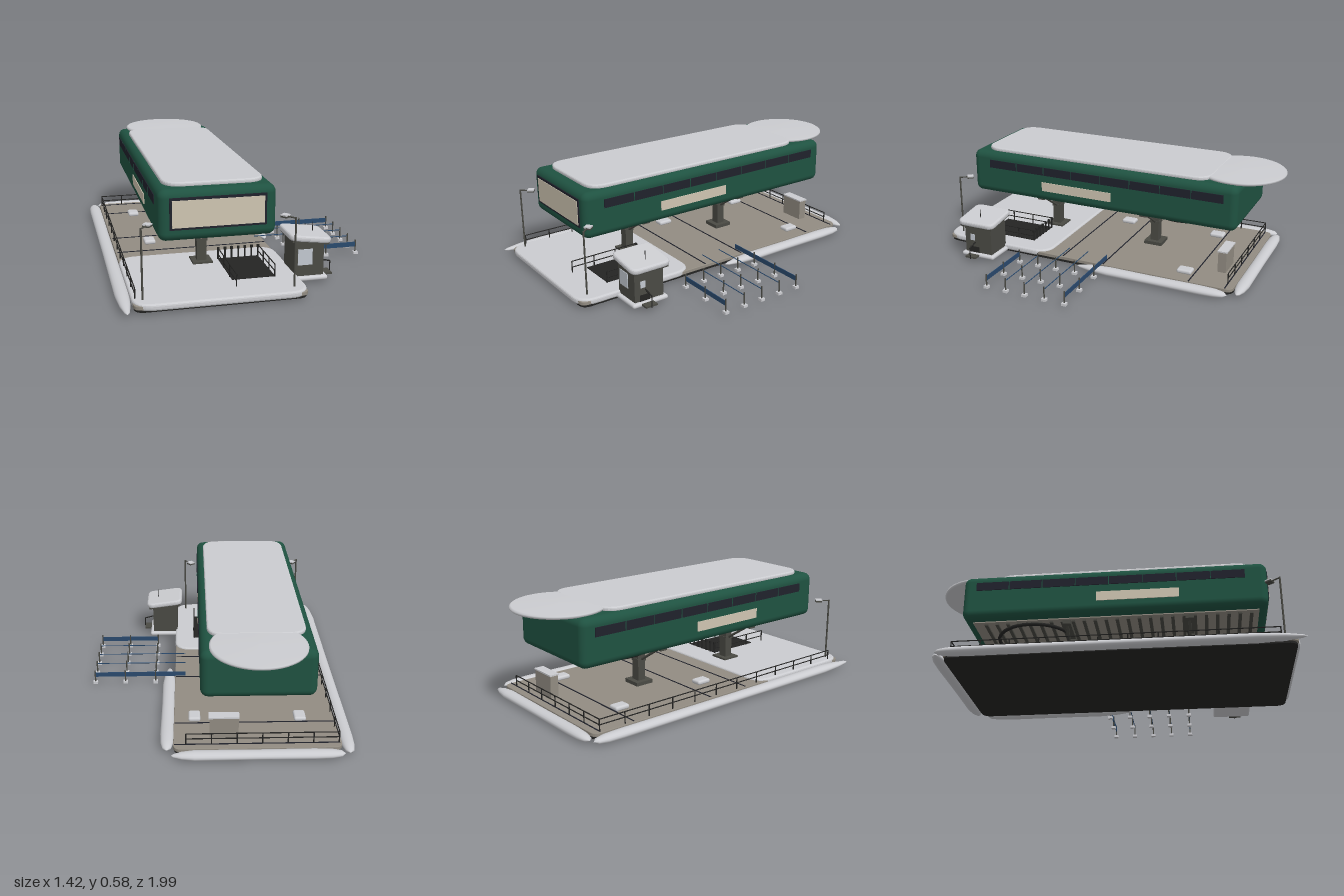
import * as THREE from 'three';
import { RoundedBoxGeometry } from 'three/addons/geometries/RoundedBoxGeometry.js';

const mat = (name, color, side = THREE.FrontSide) => {
  const m = new THREE.MeshStandardMaterial({ color, side });
  m.name = name;
  return m;
};

export function createModel() {
  const M = {
    green: mat('bodyGreen', 0x1f5241),
    frame: mat('darkFrame', 0x20222c),
    cream: mat('creamPanel', 0xcfc5b2),
    snow: mat('snow', 0xcbccd0),
    deck: mat('deckGrey', 0x928c82),
    steel: mat('darkSteel', 0x4a4a44),
    black: mat('blackBase', 0x242423),
    navy: mat('navyBelt', 0x2a4a6e),
    glass: mat('paleGlass', 0xc2c8d0),
  };
  const root = new THREE.Group();
  root.name = 'elevatedPavilion';
  const group = (name) => {
    const g = new THREE.Group();
    g.name = name;
    root.add(g);
    return g;
  };
  const add = (parent, name, geo, m, x = 0, y = 0, z = 0) => {
    const mesh = new THREE.Mesh(geo, m);
    mesh.name = name;
    mesh.position.set(x, y, z);
    parent.add(mesh);
    return mesh;
  };
  // box given by its limits on each axis
  const box = (p, name, m, x0, x1, y0, y1, z0, z1) =>
    add(p, name, new THREE.BoxGeometry(x1 - x0, y1 - y0, z1 - z0), m, (x0 + x1) / 2, (y0 + y1) / 2, (z0 + z1) / 2);
  const rbox = (p, name, m, x0, x1, y0, y1, z0, z1, r) =>
    add(p, name, new RoundedBoxGeometry(x1 - x0, y1 - y0, z1 - z0, 4, r), m, (x0 + x1) / 2, (y0 + y1) / 2, (z0 + z1) / 2);
  // round bar between two points
  const bar = (p, name, m, a, b, r) => {
    const A = new THREE.Vector3(...a), B = new THREE.Vector3(...b), d = B.clone().sub(A);
    const mesh = add(p, name, new THREE.CylinderGeometry(r, r, d.length(), 8), m);
    mesh.position.copy(A).add(B).multiplyScalar(0.5);
    mesh.quaternion.setFromUnitVectors(new THREE.Vector3(0, 1, 0), d.normalize());
    return mesh;
  };
  // flat slab with rounded corners in plan and a soft rim
  const slab = (p, name, m, x0, x1, y0, y1, z0, z1, r, bevel) => {
    const w = (x1 - x0) / 2 - bevel, h = (z1 - z0) / 2 - bevel, s = new THREE.Shape();
    s.moveTo(-w + r, -h);
    s.lineTo(w - r, -h); s.quadraticCurveTo(w, -h, w, -h + r);
    s.lineTo(w, h - r); s.quadraticCurveTo(w, h, w - r, h);
    s.lineTo(-w + r, h); s.quadraticCurveTo(-w, h, -w, h - r);
    s.lineTo(-w, -h + r); s.quadraticCurveTo(-w, -h, -w + r, -h);
    const depth = y1 - y0 - 2 * bevel;
    const g = new THREE.ExtrudeGeometry(s, { depth, bevelSize: bevel, bevelThickness: bevel, bevelSegments: 3, curveSegments: 8 });
    g.translate(0, 0, -depth / 2).rotateX(-Math.PI / 2);
    return add(p, name, g, m, (x0 + x1) / 2, (y0 + y1) / 2, (z0 + z1) / 2);
  };

  // deck
  const deck = group('deck');
  slab(deck, 'deckUnderside', M.black, -0.635, 0.222, 0.036, 0.05, -0.85, 0.95, 0.05, 0.002);
  slab(deck, 'deckFloor', M.deck, -0.64, 0.225, 0.05, 0.07, -0.852, 0.955, 0.04, 0.003);
  slab(deck, 'frontSnowField', M.snow, -0.643, 0.23, 0.045, 0.08, 0.265, 0.967, 0.09, 0.012);
  for (const z of [-0.81, -0.605, -0.09, 0.167])
    box(deck, 'deckJoint', M.frame, -0.63, 0.22, 0.068, 0.073, z - 0.003, z + 0.003);
  for (const [x, z] of [[-0.45, -0.56], [-0.43, 0.02], [0.115, -0.55]])
    rbox(deck, 'snowPatch', M.snow, x - 0.032, x + 0.032, 0.068, 0.093, z - 0.043, z + 0.043, 0.011);

  // ploughed snow banks: flattened spindles along z
  const bank = (name, length, half, taper, x, z, turn = 0) => {
    const L = length / 2, pts = [[0, -L], [0.6, -L + 0.02], [0.9, -L + 0.07], [1, -L + 0.16], [0.95, 0],
      [1, L - taper], [0.75, L - taper * 0.45], [0.35, L - taper * 0.1], [0, L]];
    const g = new THREE.LatheGeometry(pts.map(([r, y]) => new THREE.Vector2(r * half, y)), 16);
    g.rotateX(Math.PI / 2).scale(1, 0.023 / half, 1).rotateY(turn);
    add(deck, name, g, M.snow, x, 0.051, z);
  };
  bank('leftSnowBank', 1.87, 0.036, 0.24, -0.674, 0.056);
  bank('backSnowBank', 0.885, 0.036, 0.12, -0.207, -0.882, Math.PI / 2);
  bank('sideSnowBank', 0.89, 0.037, 0.2, 0.258, -0.39);

  // raised hall
  const hall = group('hall');
  rbox(hall, 'hallBody', M.green, -0.5, 0.085, 0.336, 0.592, -0.813, 0.84, 0.04);
  box(hall, 'frontFrame', M.frame, -0.447, 0.032, 0.396, 0.555, 0.838, 0.845);
  box(hall, 'frontScreen', M.cream, -0.435, 0.021, 0.407, 0.542, 0.84, 0.848);
  for (const s of [-1, 1]) {
    const x = -0.2075 + s * 0.2925;
    box(hall, 'windowStrip', M.frame, x - 0.004, x + 0.004, 0.497, 0.545, -0.738, 0.722);
    box(hall, 'sidePanel', M.cream, x - 0.004, x + 0.004, 0.4, 0.454, -0.075, 0.369);
    for (let i = 1; i < 8; i++) {
      const z = 0.722 - i * 0.1825;
      box(hall, 'windowMullion', M.green, x - 0.005, x + 0.005, 0.497, 0.545, z - 0.002, z + 0.002);
    }
  }

  // roof snow and the round cap over the back end
  slab(hall, 'roofSnow', M.snow, -0.462, 0.047, 0.586, 0.612, -0.64, 0.775, 0.09, 0.01);
  const disc = [[0, 0.589], [0.237, 0.589], [0.245, 0.595], [0.245, 0.604], [0.236, 0.61], [0, 0.613]];
  add(hall, 'roofDisc', new THREE.LatheGeometry(disc.map((p) => new THREE.Vector2(...p)), 48), M.snow, -0.205, 0, -0.755);

  // underside framing
  const under = group('undercarriage');
  box(under, 'undersidePlate', M.deck, -0.44, 0.025, 0.33, 0.34, -0.76, 0.79);
  for (let i = 0; i < 25; i++) {
    const z = 0.75 - i * 0.06;
    box(under, 'floorJoist', M.steel, -0.425, 0.01, 0.32, 0.335, z - 0.009, z + 0.009);
  }
  const ring = add(under, 'turningRing', new THREE.TorusGeometry(0.21, 0.01, 8, 40), M.black, -0.207, 0.32, -0.45);
  ring.rotation.x = Math.PI / 2;

  // columns with cross head and diagonal braces
  for (const z of [0.42, -0.245]) {
    const col = group('column');
    const c = -0.208;
    box(col, 'columnShaft', M.steel, c - 0.026, c + 0.026, 0.08, 0.335, z - 0.024, z + 0.024);
    box(col, 'columnFoot', M.steel, c - 0.054, c + 0.054, 0.068, 0.09, z - 0.054, z + 0.054);
    box(col, 'columnCollar', M.steel, c - 0.03, c + 0.03, 0.2, 0.215, z - 0.028, z + 0.028);
    box(col, 'crossHead', M.steel, c - 0.218, c + 0.218, 0.309, 0.335, z - 0.022, z + 0.022);
    for (const s of [-1, 1])
      bar(col, 'brace', M.steel, [c + s * 0.02, 0.207, z], [c + s * 0.185, 0.315, z], 0.007);
  }

  // railings
  const rail = (name, x0, z0, x1, z1, n, top) => {
    const g = group(name);
    for (const y of [top, (top + 0.075) / 2])
      bar(g, 'handrail', M.black, [x0, y, z0], [x1, y, z1], 0.003);
    for (let i = 0; i <= n; i++) {
      const t = i / n, x = x0 + (x1 - x0) * t, z = z0 + (z1 - z0) * t;
      bar(g, 'railPost', M.black, [x, 0.065, z], [x, top, z], 0.0035);
    }
  };
  rail('leftRailing', -0.625, -0.81, -0.625, 0.87, 11, 0.133);
  rail('backRailing', -0.625, -0.81, 0.16, -0.81, 6, 0.133);

  // entrance mat with rails and bollards
  const entry = group('entrance');
  box(entry, 'entranceMat', M.black, -0.115, 0.11, 0.076, 0.084, 0.42, 0.74);
  rail('entranceRail', -0.115, 0.42, -0.115, 0.83, 3, 0.145);
  rail('entranceRail', 0.11, 0.42, 0.11, 0.74, 3, 0.145);
  for (let i = 0; i < 7; i++) {
    const x = -0.112 + i * 0.037;
    bar(entry, 'bollard', M.black, [x, 0.075, 0.42], [x, 0.14, 0.42], 0.005);
    bar(entry, 'bollardHead', M.black, [x, 0.132, 0.42], [x, 0.147, 0.42], 0.008);
  }

  // lamp posts, mirrored across the deck
  for (const s of [-1, 1]) {
    const lamp = group('lampPost'), x = -0.213 + s * 0.378, hx = x - s * 0.038;
    bar(lamp, 'lampPole', M.steel, [x, 0.065, 0.892], [x, 0.435, 0.892], 0.005);
    bar(lamp, 'lampArm', M.steel, [x, 0.432, 0.892], [hx, 0.432, 0.845], 0.004);
    const head = box(lamp, 'lampHead', M.steel, hx - 0.018, hx + 0.018, 0.425, 0.433, 0.825, 0.861);
    const cap = box(lamp, 'lampSnow', M.snow, hx - 0.018, hx + 0.018, 0.433, 0.44, 0.825, 0.861);
    head.rotation.y = cap.rotation.y = s * 0.65;
  }

  // service cabinet
  const cabinet = group('cabinet');
  box(cabinet, 'cabinetBody', M.deck, -0.112, 0.038, 0.068, 0.19, -0.76, -0.712);
  box(cabinet, 'cabinetCap', M.snow, -0.116, 0.042, 0.19, 0.198, -0.764, -0.708);

  // ticket booth
  const booth = group('booth');
  rbox(booth, 'boothSnowBase', M.snow, 0.2, 0.395, 0.04, 0.065, 0.535, 0.75, 0.012);
  box(booth, 'boothBody', M.steel, 0.218, 0.375, 0.06, 0.25, 0.555, 0.73);
  box(booth, 'frontWindow', M.glass, 0.235, 0.313, 0.125, 0.21, 0.729, 0.734);
  box(booth, 'sideWindow', M.glass, 0.372, 0.378, 0.14, 0.178, 0.665, 0.695);
  box(booth, 'sideHatch', M.black, 0.372, 0.378, 0.065, 0.1, 0.64, 0.7);
  const eave = box(booth, 'boothEave', M.steel, 0.2, 0.4, 0.242, 0.254, 0.535, 0.745);
  const roof = slab(booth, 'boothRoofSnow', M.snow, 0.187, 0.413, 0.25, 0.282, 0.522, 0.758, 0.03, 0.012);
  eave.rotation.z = roof.rotation.z = -0.13;
  bar(booth, 'antenna', M.black, [0.342, 0.25, 0.64], [0.342, 0.325, 0.64], 0.002);
  bar(booth, 'shelfArm', M.black, [0.37, 0.128, 0.665], [0.435, 0.112, 0.665], 0.004);
  bar(booth, 'shelfLeg', M.black, [0.435, 0.112, 0.665], [0.435, 0.045, 0.665], 0.003);
  box(booth, 'step', M.steel, 0.375, 0.435, 0.05, 0.06, 0.63, 0.7);

  // queue barriers
  const queue = group('queueBarriers');
  [-0.09, 0.03, 0.15, 0.267, 0.387].forEach((z, i) => {
    for (const x of [0.34, 0.517, 0.693]) {
      box(queue, 'barrierBase', M.snow, x - 0.013, x + 0.013, 0.036, 0.05, z - 0.013, z + 0.013);
      bar(queue, 'barrierPost', M.steel, [x, 0.045, z], [x, 0.118, z], 0.004);
    }
    const start = i < 3 ? 0.165 : 0.34;
    if (i === 0 || i === 4) box(queue, 'barrierBelt', M.navy, start, 0.693, 0.079, 0.106, z - 0.002, z + 0.002);
    else bar(queue, 'barrierRope', M.navy, [start, 0.103, z], [0.693, 0.103, z], 0.0025);
  });

  return root;
}
